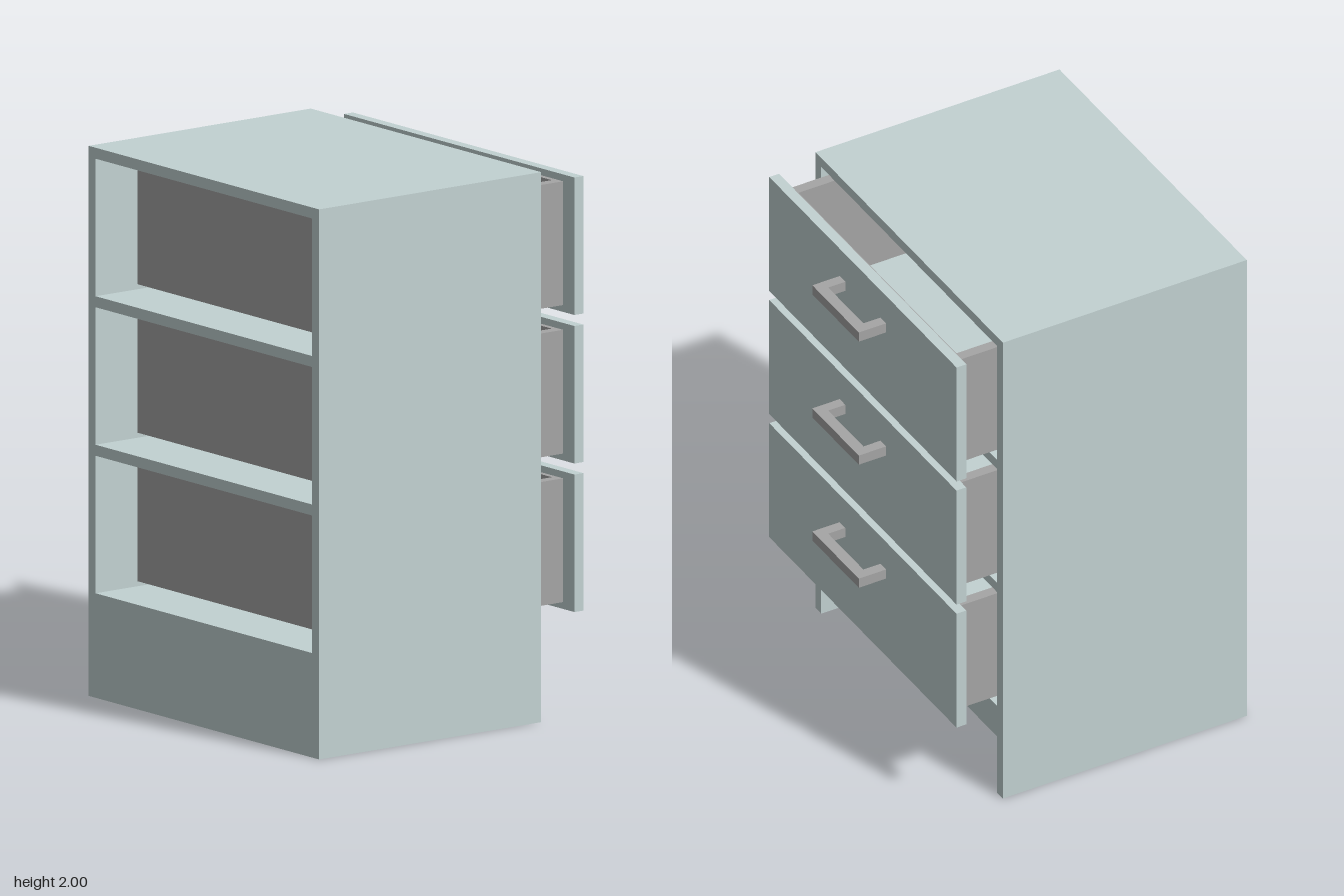
import * as THREE from 'three';

const paint = new THREE.MeshStandardMaterial({ color: 0xc2d2d2 });
const grey = new THREE.MeshStandardMaterial({ color: 0xa5a5a5 });

// Box given by its limits on each axis
function box(parent, name, material, [x0, x1], [y0, y1], [z0, z1]) {
  const mesh = new THREE.Mesh(new THREE.BoxGeometry(x1 - x0, y1 - y0, z1 - z0), material);
  mesh.position.set((x0 + x1) / 2, (y0 + y1) / 2, (z0 + z1) / 2);
  mesh.name = name;
  parent.add(mesh);
}

const W = 0.665;          // half width of the cabinet
const IN = 0.625;         // half width of its inside
const DEPTH = [-0.35, 0.65];
const PITCH = 0.54;       // spacing of the drawers

function createCabinet() {
  const cabinet = new THREE.Group();
  cabinet.name = 'cabinet';
  box(cabinet, 'leftSide', paint, [IN, W], [0, 2], DEPTH);
  box(cabinet, 'rightSide', paint, [-W, -IN], [0, 2], DEPTH);
  box(cabinet, 'top', paint, [-IN, IN], [1.96, 2], DEPTH);
  for (let i = 0; i < 3; i++) {
    const y = 0.34 + i * PITCH;
    box(cabinet, 'shelf', paint, [-IN, IN], [y, y + 0.04], DEPTH);
  }
  // Base block, set back to leave a toe space under the drawers
  box(cabinet, 'base', paint, [-IN, IN], [0, 0.34], [-0.18, 0.65]);
  return cabinet;
}

// Pulled-out drawer; y = 0 is the lower edge of its face panel
function createDrawer() {
  const drawer = new THREE.Group();
  drawer.name = 'drawer';
  const wall = [0.025, 0.475];
  box(drawer, 'facePanel', paint, [-W, W], [0, 0.5], [-0.54, -0.5]);
  for (const s of [-1, 1]) {
    const x = s > 0 ? [0.56, 0.6] : [-0.6, -0.56];
    box(drawer, 'drawerSide', grey, x, wall, [-0.5, 0.48]);
  }
  box(drawer, 'drawerInnerFront', grey, [-0.56, 0.56], wall, [-0.5, -0.48]);
  box(drawer, 'drawerBack', grey, [-0.56, 0.56], wall, [0.46, 0.48]);
  box(drawer, 'drawerBottom', grey, [-0.56, 0.56], [0.025, 0.04], [-0.48, 0.46]);
  box(drawer, 'drawerLiner', paint, [-0.56, 0.56], [0.04, 0.05], [-0.48, 0.46]);

  // Handle: a bar on two posts
  const handle = new THREE.Group();
  handle.name = 'handle';
  const hy = [0.34, 0.38];
  box(handle, 'handleBar', grey, [-0.165, 0.165], hy, [-0.652, -0.61]);
  box(handle, 'handlePost', grey, [-0.165, -0.125], hy, [-0.61, -0.54]);
  box(handle, 'handlePost', grey, [0.125, 0.165], hy, [-0.61, -0.54]);
  drawer.add(handle);
  return drawer;
}

export function createModel() {
  const model = new THREE.Group();
  model.name = 'drawerCabinet';
  model.add(createCabinet());
  for (let i = 0; i < 3; i++) {
    const drawer = createDrawer();
    drawer.position.y = 0.38 + i * PITCH;
    model.add(drawer);
  }
  return model;
}
